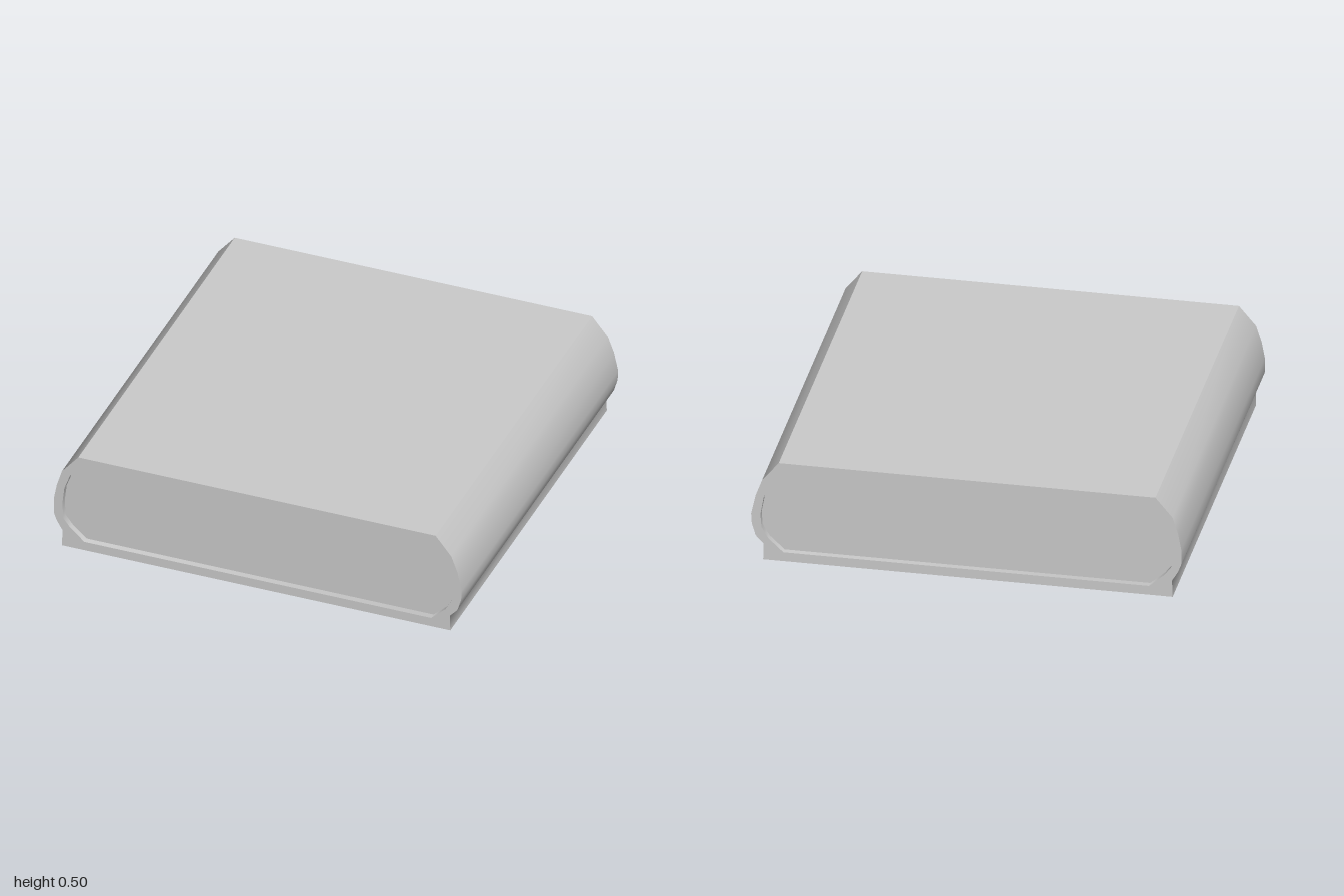
import * as THREE from 'three';
import { toCreasedNormals } from 'three/addons/utils/BufferGeometryUtils.js';

const HALF_DEPTH = 0.97;
const RECESS = 0.03;

// Outline of the shell, counter-clockwise from the lower right corner
const OUTER = [
  [0.942, 0], [0.94, 0.08], [0.977, 0.12], [0.995, 0.18], [0.998, 0.23], [0.977, 0.325], [0.947, 0.405], [0.87, 0.5],
  [-0.88, 0.5], [-0.96, 0.405], [-0.985, 0.325], [-1, 0.245], [-1, 0.17], [-0.985, 0.13], [-0.957, 0.083], [-0.96, 0],
];

// Outline of the opening at each end
const INNER = [
  [0.848, 0.045], [0.918, 0.11], [0.95, 0.165], [0.955, 0.23], [0.94, 0.315], [0.913, 0.385], [0.845, 0.463],
  [-0.855, 0.463], [-0.92, 0.39], [-0.948, 0.315], [-0.958, 0.23], [-0.953, 0.15], [-0.92, 0.107], [-0.85, 0.045],
];

const toPoints = (outline) => outline.map(([x, y]) => new THREE.Vector2(x, y));

export function createModel() {
  const group = new THREE.Group();
  const material = new THREE.MeshStandardMaterial({ color: 0xcccccc });

  // Shell: rounded sides running front to back, open at both ends
  const profile = new THREE.Shape(toPoints(OUTER));
  profile.holes.push(new THREE.Path(toPoints(INNER)));
  const shellGeometry = new THREE.ExtrudeGeometry(profile, { depth: 2 * HALF_DEPTH, bevelEnabled: false });
  shellGeometry.translate(0, 0, -HALF_DEPTH);
  const shell = new THREE.Mesh(toCreasedNormals(shellGeometry, 0.84), material);
  shell.name = 'shell';
  group.add(shell);

  // Slightly recessed panels closing the front and back
  const panelMaterial = material.clone();
  panelMaterial.side = THREE.DoubleSide;
  const panelGeometry = new THREE.ShapeGeometry(new THREE.Shape(toPoints(INNER)));
  for (const [name, side] of [['frontPanel', 1], ['backPanel', -1]]) {
    const geometry = panelGeometry.clone();
    if (side < 0) {
      // Reverse the corner order so the back panel faces outward
      geometry.index.array.reverse();
      geometry.computeVertexNormals();
    }
    const panel = new THREE.Mesh(geometry, panelMaterial);
    panel.name = name;
    panel.position.z = side * (HALF_DEPTH - RECESS);
    group.add(panel);
  }

  return group;
}
